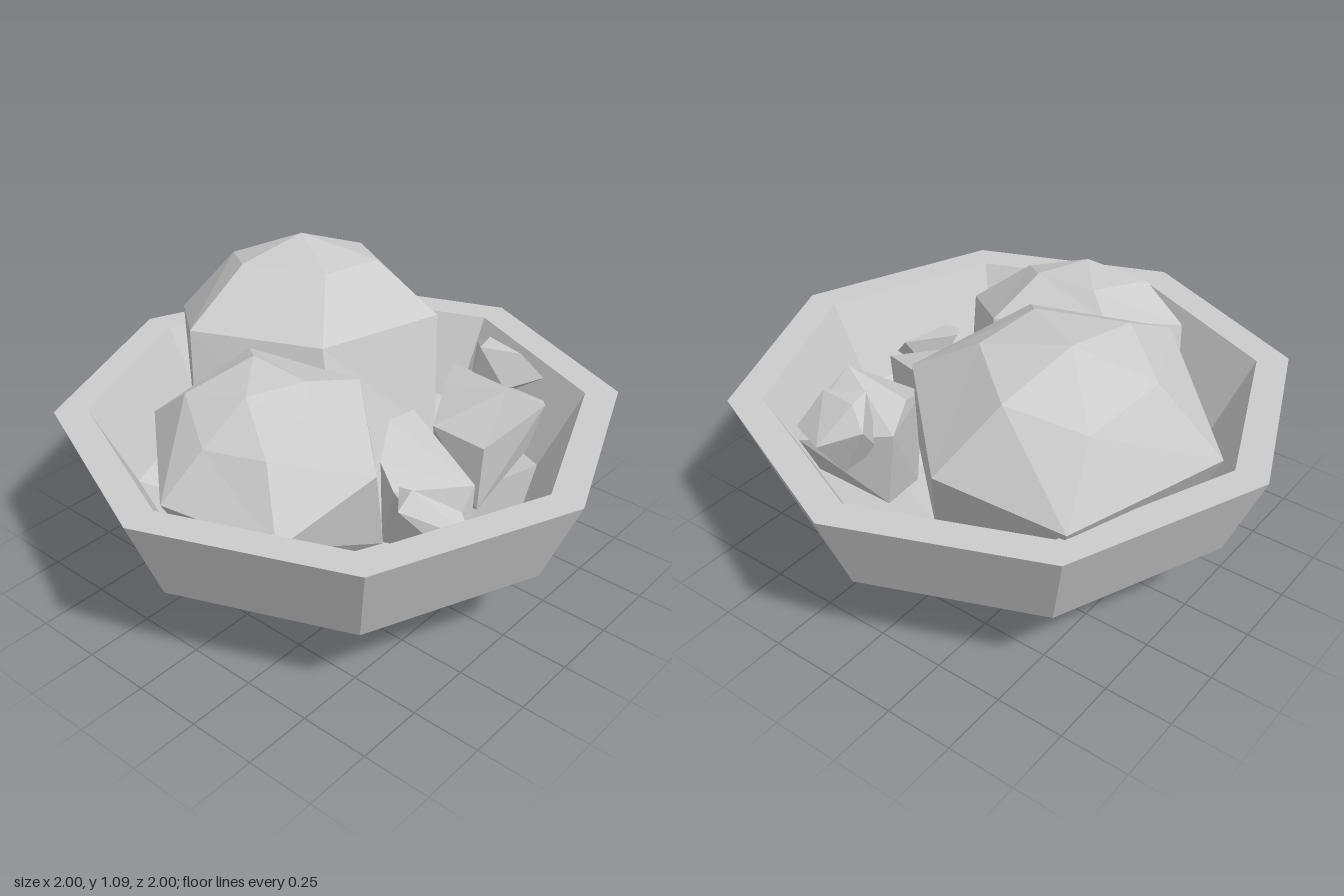
import * as THREE from 'three';
import { ConvexGeometry } from 'three/addons/geometries/ConvexGeometry.js';

const stone = new THREE.MeshStandardMaterial({ color: 0xcccccc, flatShading: true });
stone.name = 'pale grey';

function add(group, name, geometry) {
  const mesh = new THREE.Mesh(geometry, stone);
  mesh.name = name;
  group.add(mesh);
}

// Eight-sided turned part with a corner facing the front
const turned = (profile) =>
  new THREE.LatheGeometry(profile.map(([r, y]) => new THREE.Vector2(r, y)), 8);

// Faceted boulder: top point, six-sided rings going down, bottom point
function boulder(top, rings, bottom) {
  const pos = [];
  const tri = (a, b, c) => pos.push(...a, ...b, ...c);
  for (let i = 0; i < 6; i++) {
    const j = (i + 1) % 6;
    tri(top, rings[0][i], rings[0][j]);
    for (let k = 0; k < rings.length - 1; k++) {
      const [u, l] = [rings[k], rings[k + 1]];
      tri(u[i], l[i], l[j]);
      tri(u[i], l[j], u[j]);
    }
    const last = rings[rings.length - 1];
    tri(last[i], bottom, last[j]);
  }
  const g = new THREE.BufferGeometry();
  g.setAttribute('position', new THREE.Float32BufferAttribute(pos, 3));
  g.computeVertexNormals();
  return g;
}

const chunk = (points) => new ConvexGeometry(points.map((p) => new THREE.Vector3(...p)));

export function createModel() {
  const model = new THREE.Group();
  model.name = 'bowlOfStones';

  // Bowl and foot
  add(model, 'foot', turned([[0, 0], [0.48, 0], [0.48, 0.115]]));
  add(model, 'bowl', turned([
    [0.48, 0.115], [0.866, 0.32], [1, 0.65], [0.88, 0.65], [0.73, 0.35], [0.4, 0.2], [0, 0.2],
  ]));

  // Large boulder, leaning to the back
  add(model, 'largeBoulder', boulder([0.28, 1.085, -0.43], [
    [[0.12, 1.05, -0.17], [0.37, 1.03, -0.14], [0.54, 0.98, -0.36],
      [0.44, 0.915, -0.61], [0.16, 0.98, -0.67], [0, 1.045, -0.46]],
    [[-0.1, 0.905, 0.01], [0.41, 0.875, 0.11], [0.71, 0.745, -0.22],
      [0.62, 0.68, -0.66], [0.07, 0.725, -0.87], [-0.28, 0.89, -0.45]],
    [[-0.18, 0.5, 0.14], [0.3, 0.45, 0.2], [0.58, 0.38, -0.12],
      [0.5, 0.38, -0.52], [0.02, 0.38, -0.7], [-0.36, 0.5, -0.36]],
  ], [0.1, 0.22, -0.22]));

  // Medium boulder, leaning to the side
  add(model, 'mediumBoulder', boulder([-0.5, 0.905, 0.04], [
    [[-0.42, 0.845, 0.25], [-0.3, 0.905, 0.12], [-0.3, 0.915, -0.12],
      [-0.56, 0.86, -0.18], [-0.67, 0.775, 0.01], [-0.6, 0.785, 0.22]],
    [[-0.33, 0.69, 0.44], [-0.06, 0.82, 0.14], [-0.21, 0.87, -0.23],
      [-0.56, 0.73, -0.34], [-0.81, 0.61, -0.05], [-0.7, 0.57, 0.35]],
    [[-0.24, 0.36, 0.4], [0.03, 0.48, 0.13], [-0.1, 0.5, -0.26],
      [-0.46, 0.4, -0.4], [-0.66, 0.37, -0.08], [-0.56, 0.37, 0.27]],
  ], [-0.28, 0.22, 0]));

  // Small broken stones at the front
  add(model, 'frontStone', chunk([
    [-0.15, 0.6, 0.31], [0.03, 0.64, 0.2], [0.17, 0.62, 0.2], [0.02, 0.54, 0.58],
    [-0.19, 0.54, 0.4], [-0.12, 0.32, 0.55], [0, 0.28, 0.58], [0.15, 0.3, 0.25], [-0.12, 0.25, 0.3],
  ]));
  add(model, 'sideStone', chunk([
    [0.36, 0.715, 0.46], [0.34, 0.66, 0.21], [0.18, 0.58, 0.28], [0.21, 0.55, 0.48],
    [0.56, 0.58, 0.5], [0.51, 0.64, 0.12], [0.63, 0.55, 0.45],
    [0.55, 0.38, 0.45], [0.22, 0.28, 0.46], [0.26, 0.25, 0.25], [0.52, 0.35, 0.15],
  ]));
  add(model, 'sideChip', chunk([
    [0.49, 0.76, 0.25], [0.58, 0.76, 0.23], [0.56, 0.75, 0.38], [0.62, 0.7, 0.15],
    [0.71, 0.64, 0.28], [0.65, 0.63, 0.43], [0.5, 0.62, 0.36], [0.5, 0.55, 0.2], [0.62, 0.5, 0.25],
  ]));
  add(model, 'frontChip', chunk([
    [-0.28, 0.55, 0.49], [-0.21, 0.6, 0.49], [-0.2, 0.58, 0.43], [-0.11, 0.52, 0.62],
    [-0.13, 0.45, 0.68], [-0.2, 0.42, 0.6], [-0.14, 0.4, 0.5],
  ]));
  return model;
}
